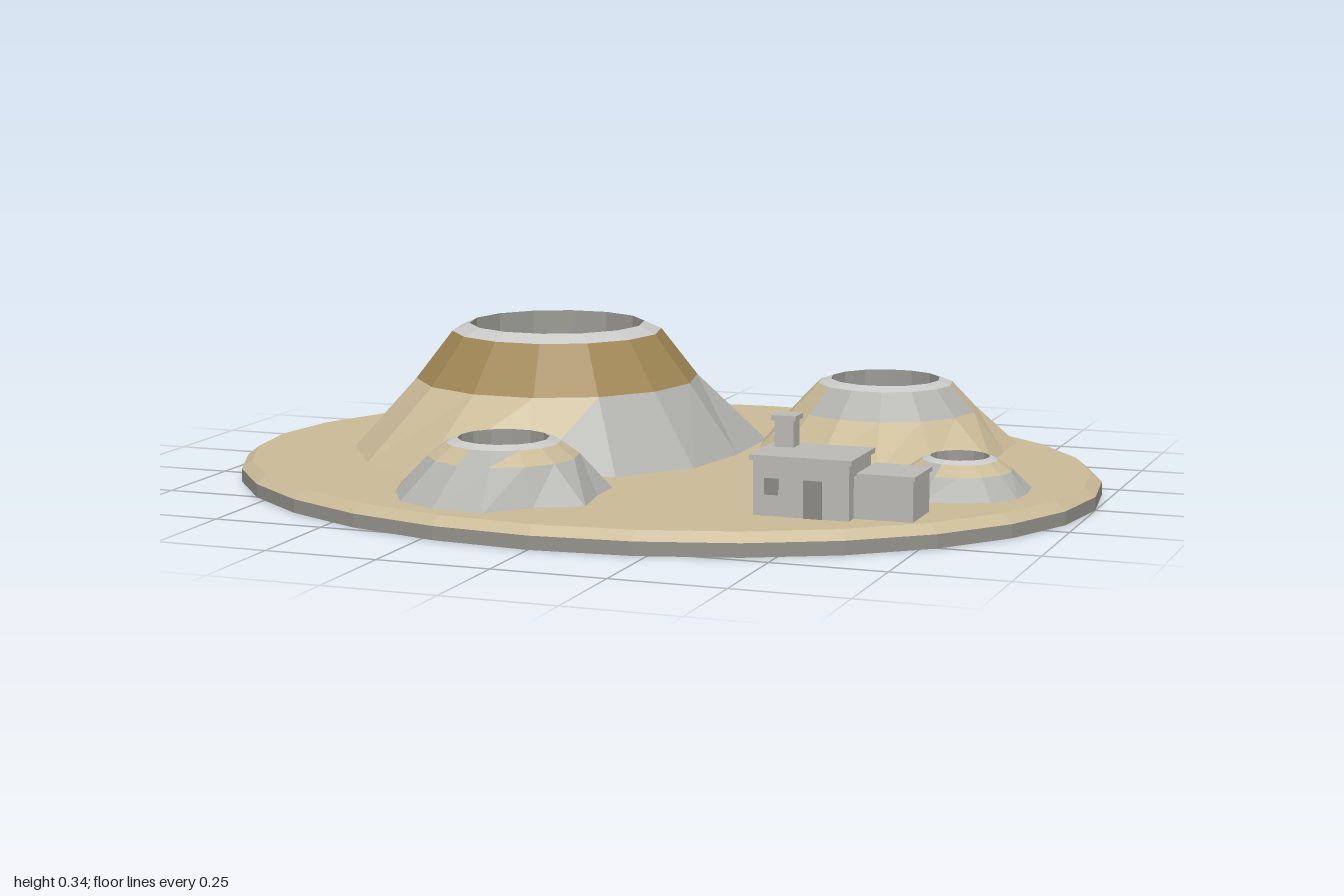
import * as THREE from 'three';

const mat = (name, color, side = THREE.FrontSide) => {
  const m = new THREE.MeshStandardMaterial({ color, flatShading: true, side });
  m.name = name;
  return m;
};

export function createModel() {
  const model = new THREE.Group();
  model.name = 'craterIsland';
  const sand = mat('sand', 0xcabb98);
  const brown = mat('brownBand', 0xa08654);
  const rock = mat('rockGrey', 0xb2b2ae);
  const rimGrey = mat('rimGrey', 0xc9cac7);
  const floorGrey = mat('craterGrey', 0x9b9a95);
  const stone = mat('baseStone', 0x95938c);
  const wall = mat('houseGrey', 0xbcbab6);
  const dark = mat('openingGrey', 0x8b8a86);

  const add = (parent, name, geometry, material, x = 0, y = 0, z = 0) => {
    const mesh = new THREE.Mesh(geometry, material);
    mesh.name = name;
    mesh.position.set(x, y, z);
    parent.add(mesh);
    return mesh;
  };

  // Oval ground plate: stone edge below, bevelled sand layer above
  const disc = (name, rTop, rBottom, y0, y1, material) => {
    const g = new THREE.CylinderGeometry(rTop, rBottom, y1 - y0, 28);
    g.scale(1, 1, 0.808);
    add(model, name, g, material, 0, (y0 + y1) / 2, 0);
  };
  disc('baseEdge', 1, 1, 0, 0.03, stone);
  disc('groundLayer', 0.975, 1, 0.03, 0.05, sand);

  // One ring of points around the crater axis; r is a number or a list of radii
  const SIDES = 14;
  const ring = (r, y) => Array.from({ length: SIDES }, (_, i) => {
    const a = (i / SIDES) * Math.PI * 2;
    const k = Array.isArray(r) ? r[i] : r;
    return [Math.cos(a) * k, y, Math.sin(a) * k];
  });

  // Band between two rings; pick(t) gives the material index of triangle t
  const band = (low, high, pick = () => 0) => {
    const lists = [[], []];
    for (let i = 0; i < SIDES; i++) {
      const j = (i + 1) % SIDES;
      lists[pick(2 * i)].push(...high[i], ...low[j], ...low[i]);
      lists[pick(2 * i + 1)].push(...high[i], ...high[j], ...low[j]);
    }
    const g = new THREE.BufferGeometry();
    g.setAttribute('position', new THREE.Float32BufferAttribute(lists.flat(), 3));
    g.addGroup(0, lists[0].length / 3, 0);
    g.addGroup(lists[0].length / 3, lists[1].length / 3, 1);
    g.computeVertexNormals();
    return g;
  };

  const craters = [
    { name: 'largeCrater', x: -0.31, z: -0.11, mid: [0.33, 0.21], top: [0.245, 0.32], inner: [0.205, 0.338], floor: 0.15,
      foot: [0.45, 0.46, 0.46, 0.45, 0.54, 0.5, 0.48, 0.48, 0.47, 0.47, 0.535, 0.49, 0.54, 0.5],
      lower: [sand, rock], lowerPick: t => (t < 5 || t > 25 ? 1 : 0), upper: [brown, brown] },
    { name: 'backCrater', x: 0.42, z: -0.35, mid: [0.215, 0.14], top: [0.158, 0.2], inner: [0.128, 0.21], floor: 0.1,
      foot: [0.29, 0.33, 0.3, 0.34, 0.31, 0.3, 0.3, 0.3, 0.32, 0.31, 0.36, 0.3, 0.31, 0.32],
      lower: [sand, sand], upper: [sand, rock], upperPick: t => (t < 10 ? 1 : 0) },
    { name: 'frontCrater', x: -0.2, z: 0.465, mid: [0.165, 0.128], top: [0.125, 0.157], inner: [0.1, 0.166], floor: 0.075,
      foot: [0.22, 0.265, 0.22, 0.27, 0.26, 0.255, 0.24, 0.25, 0.23, 0.21, 0.18, 0.19, 0.25, 0.24],
      lower: [rock, rock], upper: [sand, rock], upperPick: t => (t % 8 > 4 ? 1 : 0) },
    { name: 'smallCrater', x: 0.725, z: 0.115, mid: [0.115, 0.095], top: [0.083, 0.117], inner: [0.065, 0.124], floor: 0.065,
      foot: [0.155, 0.165, 0.17, 0.17, 0.185, 0.175, 0.165, 0.15, 0.155, 0.18, 0.17, 0.165, 0.16, 0.165],
      lower: [rock, rock], upper: [sand, rock], upperPick: t => (t % 10 > 7 ? 1 : 0) },
  ];

  for (const c of craters) {
    const g = new THREE.Group();
    g.name = c.name;
    g.position.set(c.x, 0, c.z);
    model.add(g);
    const foot = ring(c.foot, 0.045);
    const mid = ring(c.mid[0], c.mid[1]);
    const top = ring(c.top[0], c.top[1]);
    const inner = ring(c.inner[0], c.inner[1]);
    const bottom = ring(c.inner[0] * 0.99, c.floor);
    add(g, 'lowerSlope', band(foot, mid, c.lowerPick), c.lower);
    add(g, 'upperSlope', band(mid, top, c.upperPick), c.upper);
    add(g, 'rim', band(top, inner), [rimGrey, rimGrey]);
    // Hollow inside: wall facing the axis, then a flat floor
    add(g, 'innerWall', band(inner, bottom), [floorGrey, floorGrey]);
    const floor = new THREE.CircleGeometry(c.inner[0] * 0.99, SIDES);
    floor.rotateX(-Math.PI / 2);
    add(g, 'craterFloor', floor, floorGrey, 0, c.floor, 0);
  }

  // House with annex, chimney, door and window
  const house = new THREE.Group();
  house.name = 'house';
  model.add(house);
  const box = (name, x0, x1, y0, y1, z0, z1, material = wall) =>
    add(house, name, new THREE.BoxGeometry(x1 - x0, y1 - y0, z1 - z0), material,
      (x0 + x1) / 2, (y0 + y1) / 2, (z0 + z1) / 2);
  box('mainWalls', 0.395, 0.603, 0.045, 0.167, 0.382, 0.538);
  box('mainRoof', 0.388, 0.61, 0.167, 0.178, 0.375, 0.545);
  box('annexWalls', 0.603, 0.73, 0.045, 0.137, 0.38, 0.505);
  box('annexRoof', 0.61, 0.735, 0.137, 0.146, 0.375, 0.51);
  box('chimney', 0.408, 0.45, 0.178, 0.235, 0.397, 0.439);
  box('chimneyCap', 0.402, 0.456, 0.235, 0.246, 0.391, 0.445);
  box('door', 0.505, 0.545, 0.05, 0.13, 0.537, 0.541, dark);
  box('window', 0.42, 0.45, 0.095, 0.13, 0.537, 0.541, dark);

  return model;
}
